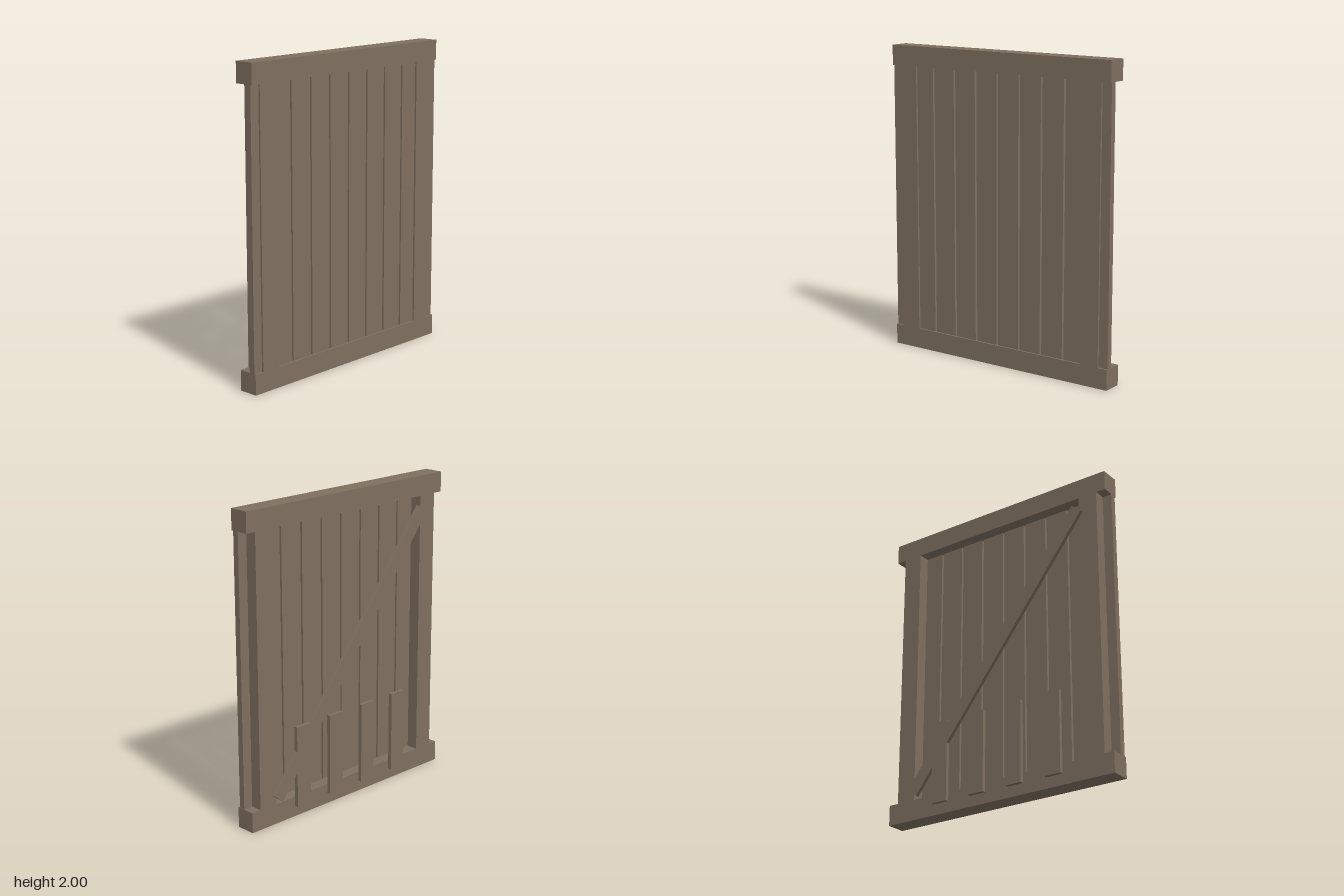
import * as THREE from 'three';

export function createModel() {
  const group = new THREE.Group();
  group.name = 'woodenPanel';
  const wood = new THREE.MeshStandardMaterial({ color: 0x7f7060 });
  wood.name = 'weathered wood';

  // Box given by its extents on each axis
  function board(name, [x0, x1], [y0, y1], [z0, z1]) {
    const mesh = new THREE.Mesh(new THREE.BoxGeometry(x1 - x0, y1 - y0, z1 - z0), wood);
    mesh.name = name;
    mesh.position.set((x0 + x1) / 2, (y0 + y1) / 2, (z0 + z1) / 2);
    group.add(mesh);
    return mesh;
  }

  const frameZ = [-0.052, 0.077];

  // Top and bottom rails
  board('bottomRail', [-0.83, 0.83], [0, 0.132], frameZ);
  board('topRail', [-0.83, 0.83], [1.87, 2], frameZ);

  // Side posts
  board('rightPost', [-0.766, -0.636], [0.132, 1.87], frameZ);
  board('leftPost', [0.634, 0.764], [0.132, 1.87], frameZ);

  // Vertical planks with narrow gaps, set back from the front
  for (let i = 0; i < 10; i++) {
    const x = -0.829 + i * 0.167;
    board('plank', [x, x + 0.154], [0.12, 1.88], [0.025, 0.065]);
  }

  // Diagonal brace across the back
  const brace = board('diagonalBrace', [-1.027, 1.027], [-0.0415, 0.0415], [-0.0775, -0.0525]);
  brace.position.y = 0.98;
  brace.rotation.z = -Math.atan(1.28);

  // Short slats on the lower back
  for (const x of [-0.42, -0.14, 0.14, 0.42]) {
    board('backSlat', [x - 0.057, x + 0.057], [0.07, 0.6], [-0.077, -0.052]);
  }

  return group;
}
